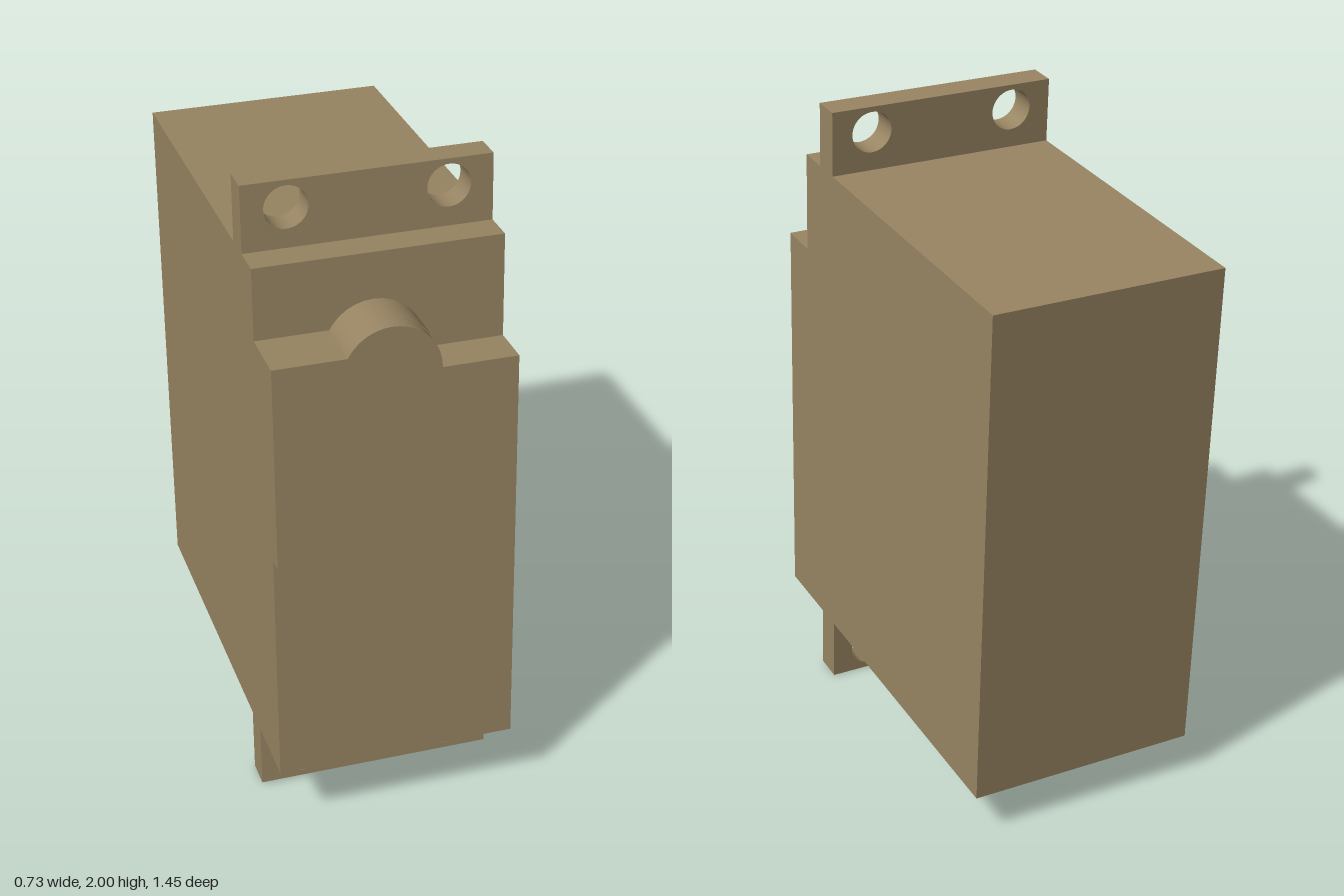
import * as THREE from 'three';

const WIDTH = 0.726;   // across x
const HEIGHT = 1.593;  // case height
const DEPTH = 1.347;   // case depth
const STEP = 0.132;    // recess at the top of the front face
const STEP_Y = 1.279;
const FACE_PLATE = 0.05;

export function createModel() {
  const tan = new THREE.MeshStandardMaterial({ color: 0x988563 });
  tan.name = 'tan';

  const model = new THREE.Group();
  model.name = 'servoCase';

  // Local origin is the lower front edge; the whole case leans back slightly
  const body = new THREE.Group();
  body.name = 'tiltedBody';
  body.position.set(0, 0.225, 0.724);
  body.rotation.x = -0.0632;
  model.add(body);

  const add = (name, geometry, x = 0, y = 0, z = 0) => {
    const mesh = new THREE.Mesh(geometry, tan);
    mesh.name = name;
    mesh.position.set(x, y, z);
    body.add(mesh);
    return mesh;
  };
  const extrude = (shape, depth) =>
    new THREE.ExtrudeGeometry(shape, { depth, bevelEnabled: false, curveSegments: 24 });

  // Main case: stepped side profile swept across the width
  const profile = new THREE.Shape([
    [0, 0], [0, STEP_Y], [-STEP, STEP_Y], [-STEP, HEIGHT], [-DEPTH, HEIGHT], [-DEPTH, 0],
  ].map(([z, y]) => new THREE.Vector2(z, y)));
  const caseGeometry = extrude(profile, WIDTH);
  caseGeometry.translate(0, 0, -WIDTH / 2);
  caseGeometry.rotateY(-Math.PI / 2);
  add('case', caseGeometry);

  // Mounting tabs, each with two screw holes
  const tab = (name, y0, y1, holeY) => {
    const h = WIDTH / 2;
    const shape = new THREE.Shape([
      new THREE.Vector2(-h, y0), new THREE.Vector2(h, y0),
      new THREE.Vector2(h, y1), new THREE.Vector2(-h, y1),
    ]);
    for (const x of [-0.234, 0.234]) {
      shape.holes.push(new THREE.Path().absarc(x, holeY, 0.064, 0, Math.PI * 2, true));
    }
    add(name, extrude(shape, 0.09), 0, 0, -0.323);
  };
  tab('topTab', HEIGHT, 1.794, 1.714);
  tab('bottomTab', -0.205, 0, -0.122);

  // Raised front plate with a rounded hump on its top edge
  const left = -WIDTH / 2, shoulderY = 1.375;
  const cx = -0.022, cy = 1.309, r = 0.143;
  const plate = new THREE.Shape();
  plate.moveTo(left, 0.746);
  plate.lineTo(cx + r, 0.746);
  plate.lineTo(cx + r, cy);
  plate.absarc(cx, cy, r, 0, Math.PI - Math.asin((shoulderY - cy) / r), false);
  plate.lineTo(left, shoulderY);
  add('frontPlate', extrude(plate, FACE_PLATE));

  // Block and round boss filling the recess behind the plate
  const blockWidth = cx - left, blockHeight = shoulderY - STEP_Y;
  add('recessBlock', new THREE.BoxGeometry(blockWidth, blockHeight, STEP),
    left + blockWidth / 2, STEP_Y + blockHeight / 2, -STEP / 2);
  const boss = new THREE.CylinderGeometry(0.146, 0.146, STEP, 32);
  boss.rotateX(Math.PI / 2);
  add('roundBoss', boss, cx + 0.003, cy - 0.003, -STEP / 2);

  return model;
}
